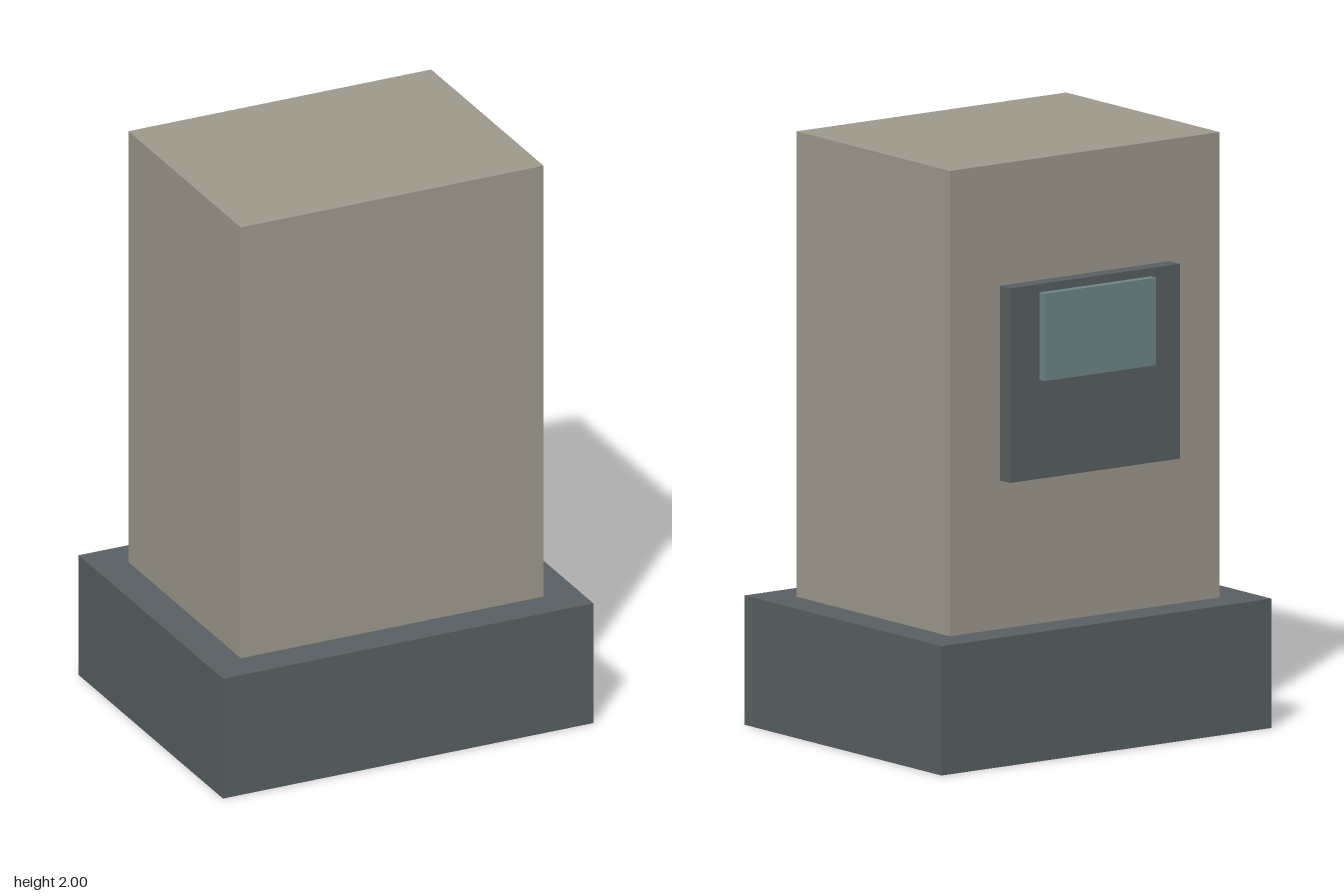
import * as THREE from 'three';

export function createModel() {
  const model = new THREE.Group();
  const stone = new THREE.MeshStandardMaterial({ color: 0xa09a8d });
  const slate = new THREE.MeshStandardMaterial({ color: 0x596063 });
  const glass = new THREE.MeshStandardMaterial({ color: 0x6f8788 });

  // Box given by its half width and its y and z ranges
  function block(name, halfWidth, [y0, y1], [z0, z1], material) {
    const mesh = new THREE.Mesh(new THREE.BoxGeometry(2 * halfWidth, y1 - y0, z1 - z0), material);
    mesh.position.set(0, (y0 + y1) / 2, (z0 + z1) / 2);
    mesh.name = name;
    model.add(mesh);
  }

  block('base', 0.68, [0, 0.435], [-0.543, 0.543], slate);
  block('column', 0.556, [0.435, 2], [-0.423, 0.423], stone);

  // Raised panel and its plate on the back face
  block('backPanel', 0.35, [0.935, 1.59], [-0.48, -0.423], slate);
  block('panelPlate', 0.23, [1.268, 1.562], [-0.509, -0.48], glass);

  return model;
}
